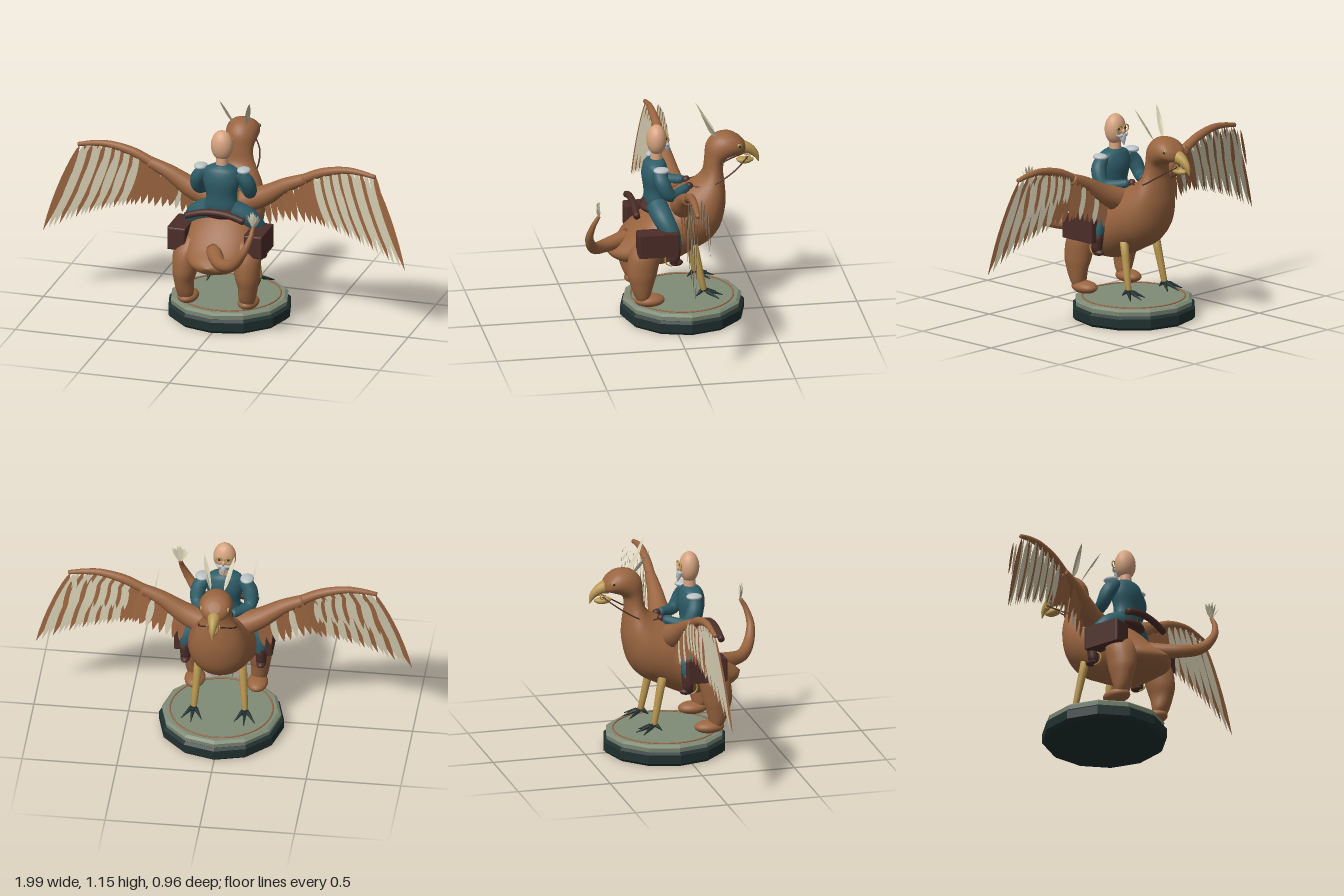
import * as THREE from 'three';

const mat = (name, color, double) => {
  const m = new THREE.MeshStandardMaterial({ color });
  m.name = name;
  if (double) m.side = THREE.DoubleSide;
  return m;
};
const V = (x, y, z) => new THREE.Vector3(x, y, z);

// Closed smooth surface through rings of equal point count, capped at both ends
function skin(rings) {
  const n = rings[0].length, pos = [], idx = [];
  rings.forEach(r => r.forEach(p => pos.push(p.x, p.y, p.z)));
  for (let i = 0; i < rings.length - 1; i++)
    for (let j = 0; j < n; j++) {
      const a = i * n + j, b = i * n + (j + 1) % n;
      idx.push(a, b, a + n, b, b + n, a + n);
    }
  [0, rings.length - 1].forEach(k => {
    const c = rings[k].reduce((s, p) => s.add(p), V(0, 0, 0)).divideScalar(n);
    const ci = pos.length / 3;
    pos.push(c.x, c.y, c.z);
    for (let j = 0; j < n; j++) {
      const a = k * n + j, b = k * n + (j + 1) % n;
      k ? idx.push(a, b, ci) : idx.push(b, a, ci);
    }
  });
  // flip the winding if the surface faces inward
  let vol = 0;
  const at = i => V(pos[3 * i], pos[3 * i + 1], pos[3 * i + 2]);
  for (let i = 0; i < idx.length; i += 3) vol += at(idx[i]).dot(at(idx[i + 1]).cross(at(idx[i + 2])));
  if (vol < 0) idx.reverse();
  const g = new THREE.BufferGeometry();
  g.setAttribute('position', new THREE.Float32BufferAttribute(pos, 3));
  g.setIndex(idx);
  g.computeVertexNormals();
  return g;
}

// Ellipses spanned between two side-profile points: [z1, y1, z2, y2, halfWidth, centreX]
function loft(rows, steps = 40, n = 24) {
  const curve = f => new THREE.CatmullRomCurve3(rows.map(f), false, 'catmullrom', 0.5);
  const A = curve(r => V(0, r[1], r[0])), B = curve(r => V(0, r[3], r[2])), W = curve(r => V(r[4], r[5] || 0, 0));
  const rings = [];
  for (let i = 0; i <= steps; i++) {
    const t = i / steps, a = A.getPoint(t), b = B.getPoint(t), w = W.getPoint(t);
    const c = a.clone().add(b).multiplyScalar(0.5), h = a.sub(b).multiplyScalar(0.5);
    rings.push(Array.from({ length: n }, (_, j) => {
      const q = j / n * Math.PI * 2;
      return c.clone().addScaledVector(h, Math.cos(q)).add(V(w.y + w.x * Math.sin(q), 0, 0));
    }));
  }
  return skin(rings);
}

// Tapered tube along a curve
function taper(points, radii, steps = 24, n = 14) {
  const path = new THREE.CatmullRomCurve3(points.map(p => V(...p)), false, 'catmullrom', 0.5);
  const size = new THREE.CatmullRomCurve3(radii.map(r => V(r, 0, 0)), false, 'catmullrom', 0.5);
  const rings = [], up = V(0.13, 0.2, 0.97);
  for (let i = 0; i <= steps; i++) {
    const t = i / steps, c = path.getPoint(t), d = path.getTangent(t), r = size.getPoint(t).x;
    const u = up.clone().addScaledVector(d, -up.dot(d)).normalize(), v = d.clone().cross(u);
    up.copy(u);
    rings.push(Array.from({ length: n }, (_, j) => {
      const q = j / n * Math.PI * 2;
      return c.clone().addScaledVector(u, r * Math.cos(q)).addScaledVector(v, r * Math.sin(q));
    }));
  }
  return skin(rings);
}

export function createModel() {
  const root = new THREE.Group();
  const brown = mat('brown plumage', 0x9a6540), brownVane = brown;
  brown.side = THREE.DoubleSide;
  const cream = mat('cream feather', 0xd3cbb0, true), teal = mat('teal cloth', 0x2e5d68);
  const flesh = mat('skin', 0xd6a380), leather = mat('dark leather', 0x4b2d28), gold = mat('ochre horn', 0xb8964f);
  const dark = mat('dark green', 0x1f302f), stone = mat('stone green', 0x7f8b77), silver = mat('silver', 0xb9c2c6);

  const add = (name, geo, m, p) => {
    const mesh = new THREE.Mesh(geo, m);
    mesh.name = name;
    if (p) mesh.position.set(...p);
    root.add(mesh);
    return mesh;
  };
  const ball = (name, m, p, r) => add(name, new THREE.SphereGeometry(1, 24, 16), m, p).scale.set(...r);

  // Flat leaf-shaped feather from root to tip
  const leaf = new THREE.Shape();
  leaf.moveTo(0, 0);
  leaf.bezierCurveTo(0.5, 0.15, 0.65, 0.65, 0, 1);
  leaf.bezierCurveTo(-0.65, 0.65, -0.5, 0.15, 0, 0);
  const leafGeo = new THREE.ShapeGeometry(leaf, 8);
  const feather = (name, m, a, b, width, twist = 0) => {
    const y = V(...b).sub(V(...a)), len = y.length();
    y.normalize();
    const x = y.clone().cross(V(0, 0, 1)).normalize(), z = x.clone().cross(y);
    const f = add(name, leafGeo, m, a);
    f.quaternion.setFromRotationMatrix(new THREE.Matrix4().makeBasis(x, y, z));
    f.rotateY(twist);
    f.scale.set(width, len, 1);
  };

  // Round plinth
  const plinth = (name, pts, m) => {
    const geo = new THREE.LatheGeometry(pts.map(p => new THREE.Vector2(...p)), 12).toNonIndexed();
    geo.computeVertexNormals();
    add(name, geo, m, [0, 0, -0.07]);
  };
  plinth('plinthBase', [[0, 0], [0.315, 0], [0.33, 0.015], [0.33, 0.062], [0.315, 0.075], [0, 0.075]], dark);
  plinth('plinthTop', [[0.313, 0.073], [0.316, 0.098], [0.3, 0.11], [0, 0.11]], stone);
  add('plinthRing', new THREE.TorusGeometry(0.27, 0.004, 6, 48), brown, [0, 0.112, -0.07]).rotation.x = Math.PI / 2;

  // Body, neck and head in one sweep
  add('body', loft([
    [0.338, 0.398, 0.338, 0.388, 0.01], [0.30, 0.43, 0.31, 0.355, 0.08], [0.24, 0.475, 0.25, 0.33, 0.14],
    [0.14, 0.58, 0.15, 0.31, 0.185], [0.05, 0.65, 0.05, 0.30, 0.19], [-0.02, 0.69, -0.03, 0.325, 0.18],
    [-0.07, 0.72, -0.13, 0.375, 0.175], [-0.11, 0.74, -0.21, 0.42, 0.165], [-0.14, 0.755, -0.27, 0.50, 0.15],
    [-0.165, 0.775, -0.298, 0.62, 0.125], [-0.18, 0.80, -0.295, 0.72, 0.098], [-0.186, 0.83, -0.287, 0.80, 0.078],
    [-0.19, 0.88, -0.30, 0.86, 0.074], [-0.20, 0.95, -0.36, 0.885, 0.085], [-0.245, 1.0, -0.402, 0.897, 0.086],
    [-0.31, 1.011, -0.408, 0.925, 0.066], [-0.36, 0.992, -0.402, 0.95, 0.03]], 72, 32), brown);

  // Hooked beak
  add('upperBeak', loft([[-0.37, 0.955, -0.38, 0.88, 0.036], [-0.41, 0.948, -0.41, 0.882, 0.032],
    [-0.45, 0.92, -0.435, 0.87, 0.022], [-0.476, 0.88, -0.455, 0.855, 0.013], [-0.479, 0.832, -0.474, 0.832, 0.003]], 24), gold);
  add('lowerBeak', loft([[-0.36, 0.852, -0.36, 0.842, 0.012], [-0.38, 0.862, -0.38, 0.828, 0.025],
    [-0.42, 0.86, -0.42, 0.825, 0.024], [-0.45, 0.852, -0.45, 0.838, 0.008]], 16), gold);

  // Curled tail with a tuft
  add('tail', taper([[0, 0.45, 0.22], [0.08, 0.44, 0.36], [0.17, 0.47, 0.43], [0.235, 0.55, 0.463], [0.27, 0.63, 0.45], [0.28, 0.69, 0.42]],
    [0.045, 0.035, 0.03, 0.022, 0.015, 0.01], 36), brown);
  for (let i = -3; i <= 3; i++)
    feather('tailTuft', cream, [0.28, 0.685, 0.42], [0.28 + i * 0.015, 0.78 - Math.abs(i) * 0.008, 0.425 + (i % 2) * 0.01], 0.025, i * 0.3);

  for (const s of [1, -1]) {
    // Head details
    ball('eye', gold, [s * 0.071, 0.95, -0.362], [0.008, 0.013, 0.013]);
    ball('pupil', dark, [s * 0.077, 0.95, -0.364], [0.004, 0.007, 0.007]);
    for (let i = 0; i < 4; i++)
      feather('crestFeather', cream, [s * 0.035, 0.99, -0.25], [s * (0.082 - i * 0.008), 1.15 - i * 0.025, -0.155 - i * 0.012], 0.03, s * (0.5 + i * 0.25));

    // Hind leg and paw
    add('hindLeg', loft([[0.18, 0.50, 0.12, 0.50, 0.02, s * 0.14], [0.235, 0.42, 0.07, 0.45, 0.07, s * 0.16],
      [0.25, 0.32, 0.09, 0.32, 0.066, s * 0.17], [0.235, 0.25, 0.11, 0.25, 0.052, s * 0.175],
      [0.215, 0.19, 0.128, 0.18, 0.045, s * 0.17], [0.19, 0.145, 0.14, 0.145, 0.03, s * 0.17]], 30), brown);
    ball('hindPaw', brown, [s * 0.165, 0.153, 0.13], [0.055, 0.034, 0.08]);

    // Fore leg and talons
    add('foreLeg', taper([[s * 0.115, 0.44, -0.11], [s * 0.135, 0.18, -0.162]], [0.024, 0.016], 4, 16), gold);
    [[0.085, -0.235], [0.14, -0.262], [0.195, -0.235], [0.14, -0.12]].forEach(([x, z]) =>
      add('talon', taper([[s * 0.135, 0.182, -0.158], [s * x, 0.145, z]], [0.015, 0.002], 2, 8), dark));

    // Wing arm
    add('upperWingArm', taper([[s * 0.08, 0.64, -0.06], [s * 0.2, 0.69, -0.045], [s * 0.32, 0.765, -0.035], [s * 0.43, 0.815, -0.03]],
      [0.07, 0.056, 0.04, 0.029]), brown);
    const arm = new THREE.CatmullRomCurve3([V(0.2, 0.69, -0.03), V(0.42, 0.815, -0.025), V(0.54, 0.87, -0.02), V(0.65, 0.895, -0.02), V(0.81, 0.872, -0.015)]);
    add('outerWingArm', taper([[s * 0.41, 0.81, -0.03], [s * 0.52, 0.862, -0.025], [s * 0.64, 0.89, -0.02], [s * 0.73, 0.888, -0.018], [s * 0.815, 0.873, -0.015]],
      [0.026, 0.024, 0.019, 0.015, 0.011]), brown);

    // Flight feathers, longest at the wing tip
    const count = 26;
    for (let i = 0; i < count; i++) {
      const t = i / (count - 1), p = arm.getPoint(0.08 + t * 0.91);
      const c = t < 0.25 ? brownVane : i % 3 === 1 ? brownVane : cream;
      const len = 0.15 + 0.34 * Math.pow(t, 0.8), lean = 0.04 + 0.15 * t;
      const z = -0.02 + (i % 3) * 0.006;
      feather('flightFeather', c, [s * p.x, p.y, z], [s * (p.x + lean), p.y - len, z + 0.045 * t], 0.052, s * 0.2);
    }
    // Short coverts on the forward face
    for (let i = 0; i < 15; i++) {
      const t = i / 14, p = arm.getPoint(0.4 + t * 0.57), len = 0.15 + 0.07 * t;
      feather('covertFeather', i % 3 === 2 ? brownVane : cream, [s * p.x, p.y - 0.01, -0.08], [s * (p.x + 0.02 + 0.03 * t), p.y - len, -0.078], 0.03, s * 0.25);
    }
    // Shoulder feathers
    for (let i = 0; i < 8; i++)
      feather('shoulderFeather', i % 3 === 2 ? cream : brownVane, [s * (0.2 + i * 0.032), 0.69 + i * 0.018, -0.06],
        [s * (0.225 + i * 0.035), 0.52 + i * 0.014, -0.065], 0.045, s * 0.25);

    // Rider's limbs
    add('riderArm', taper([[s * 0.09, 0.85, 0.07], [s * 0.135, 0.79, 0.055], [s * 0.135, 0.72, 0.01], [s * 0.055, 0.73, -0.085]],
      [0.033, 0.04, 0.033, 0.022]), teal);
    ball('glove', leather, [s * 0.045, 0.733, -0.1], [0.02, 0.022, 0.022]);
    ball('epaulette', silver, [s * 0.118, 0.86, 0.06], [0.036, 0.017, 0.042]);
    add('riderLeg', taper([[s * 0.05, 0.64, 0.075], [s * 0.14, 0.59, 0.05], [s * 0.19, 0.51, 0.01], [s * 0.2, 0.43, 0]], [0.058, 0.055, 0.042, 0.028]), teal);
    add('boot', taper([[s * 0.2, 0.47, 0], [s * 0.2, 0.37, 0.005]], [0.033, 0.026], 4), leather);
    ball('bootFoot', leather, [s * 0.2, 0.37, -0.005], [0.024, 0.018, 0.036]);
    add('stirrup', new THREE.TorusGeometry(0.034, 0.004, 8, 24), gold, [s * 0.2, 0.387, 0.02]).rotation.y = Math.PI / 2;

    // Saddlebag with flap seam
    add('saddlebag', loftBox(0.1, 0.125, 0.218), leather, [s * 0.21, 0.488, 0.095]);

    // Reins
    add('rein', taper([[s * 0.03, 0.872, -0.415], [s * 0.082, 0.82, -0.34], [s * 0.098, 0.765, -0.25], [s * 0.09, 0.737, -0.18], [s * 0.045, 0.735, -0.1]],
      [0.004, 0.004, 0.004], 24, 6), leather);
    add('bitRing', new THREE.TorusGeometry(0.012, 0.003, 6, 16), gold, [s * 0.033, 0.872, -0.415]).rotation.y = Math.PI / 2;

    // Spectacles and moustache
    add('spectacle', new THREE.TorusGeometry(0.018, 0.0035, 8, 24), gold, [s * 0.024, 1.0, 0.01]);
    ball('riderEye', dark, [s * 0.024, 1.0, 0.016], [0.007, 0.007, 0.004]);
    add('moustache', taper([[0, 0.968, 0.008], [s * 0.025, 0.962, 0.01], [s * 0.045, 0.972, 0.018]], [0.009, 0.008, 0.002], 8, 8), silver);
  }

  // Rider's body and head
  add('coat', loft([[0.11, 0.60, 0.03, 0.60, 0.075], [0.13, 0.65, 0.015, 0.65, 0.088], [0.135, 0.72, 0.015, 0.72, 0.082],
    [0.145, 0.80, 0.005, 0.80, 0.1], [0.132, 0.86, 0.018, 0.86, 0.09], [0.105, 0.887, 0.035, 0.887, 0.04]], 30), teal);
  add('neck', new THREE.CylinderGeometry(0.03, 0.033, 0.06, 20), flesh, [0, 0.905, 0.067]);
  ball('riderHead', flesh, [0, 0.99, 0.065], [0.06, 0.082, 0.053]);
  ball('nose', flesh, [0, 0.985, 0.008], [0.01, 0.014, 0.012]);
  add('beard', taper([[0, 0.962, 0.015], [0, 0.94, 0.008], [0, 0.912, 0.002]], [0.018, 0.014, 0.002], 8, 10), silver);

  // Saddle, bedroll and its strap
  ball('saddle', leather, [0, 0.625, 0.05], [0.12, 0.04, 0.11]);
  add('bedroll', taper([[-0.16, 0.625, 0.197], [-0.08, 0.65, 0.197], [0, 0.658, 0.197], [0.08, 0.65, 0.197], [0.16, 0.625, 0.197]], [0.018, 0.018]), leather);
  add('strap', new THREE.BoxGeometry(0.015, 0.03, 0.006), leather, [0, 0.64, 0.15]);
  return root;
}

// Box with softly bevelled edges
function loftBox(w, h, d) {
  const b = 0.01, x = w / 2 - b, y = h / 2 - b, s = new THREE.Shape();
  s.moveTo(-x, -y).lineTo(x, -y).lineTo(x, y).lineTo(-x, y);
  const g = new THREE.ExtrudeGeometry(s, { depth: d - 2 * b, bevelThickness: b, bevelSize: b, bevelSegments: 3 });
  return g.translate(0, 0, -d / 2 + b);
}
